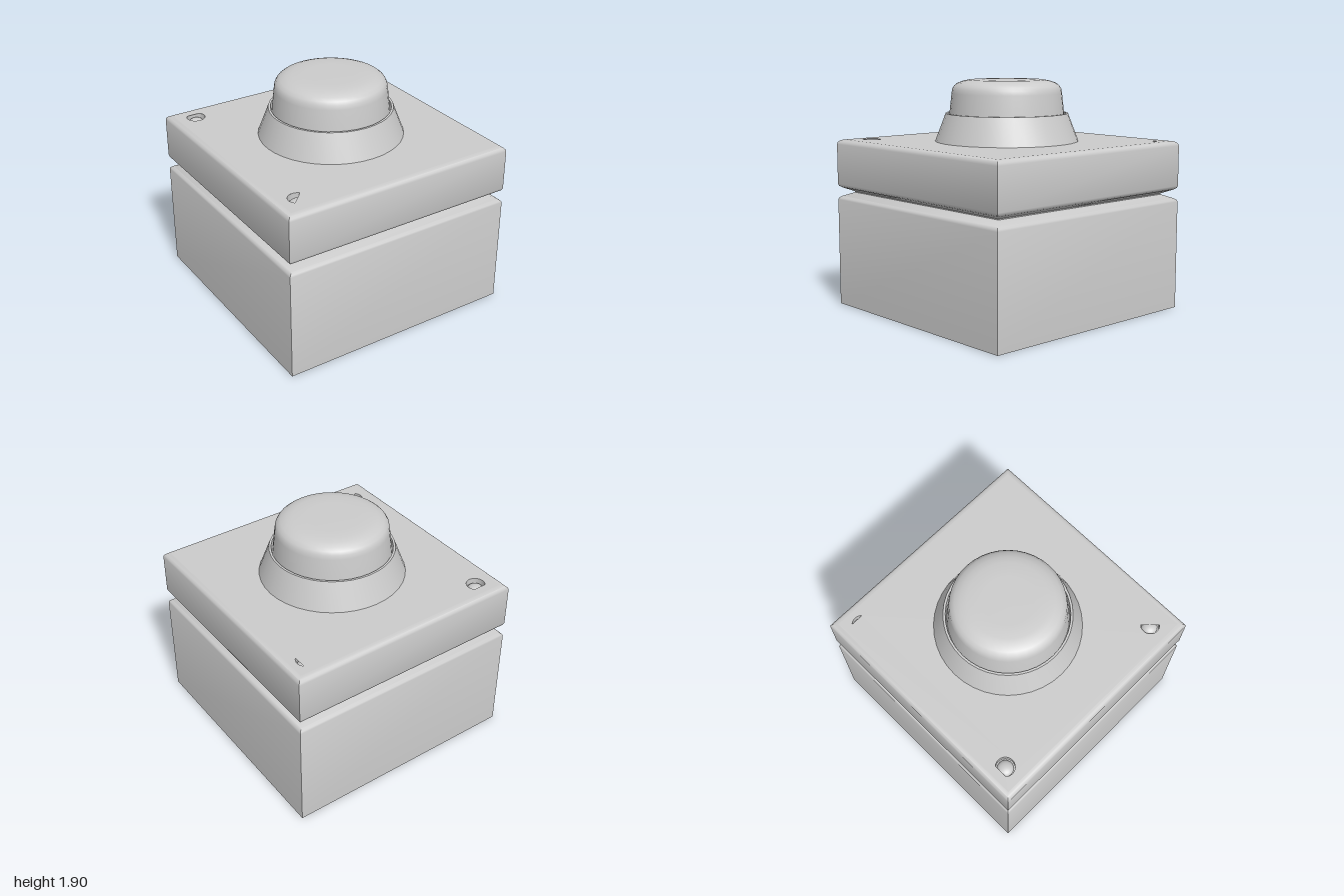
import * as THREE from 'three';
import { toCreasedNormals } from 'three/addons/utils/BufferGeometryUtils.js';

const material = new THREE.MeshStandardMaterial({ color: 0xcccccc });
const TOP = 1.4, TOP_HALF = 0.95;

function part(name, geometry, parent) {
  const mesh = new THREE.Mesh(geometry, material);
  mesh.name = name;
  parent.add(mesh);
  return mesh;
}

// Square shell with mitred corners from a [half width, height] profile
function squareShell(profile) {
  const positions = [];
  for (let side = 0; side < 4; side++) {
    const axis = new THREE.Vector3(0, 1, 0);
    const at = (sign, [h, y]) =>
      new THREE.Vector3(sign * h, y, h).applyAxisAngle(axis, side * Math.PI / 2).toArray();
    for (let i = 0; i < profile.length - 1; i++) {
      const a = at(-1, profile[i]), b = at(1, profile[i]);
      const c = at(-1, profile[i + 1]), d = at(1, profile[i + 1]);
      positions.push(...a, ...b, ...d, ...a, ...d, ...c);
    }
  }
  const geometry = new THREE.BufferGeometry();
  geometry.setAttribute('position', new THREE.Float32BufferAttribute(positions, 3));
  return toCreasedNormals(geometry, 0.75);
}

function turned(profile) {
  const points = profile.map(([r, y]) => new THREE.Vector2(r, y));
  return toCreasedNormals(new THREE.LatheGeometry(points, 40), 0.7);
}

export function createModel() {
  const model = new THREE.Group();
  model.name = 'pushButtonBox';

  // Lower box
  const base = new THREE.Group();
  base.name = 'base';
  model.add(base);
  part('baseWalls', squareShell([
    [1, 0], [1, 0.895], [0.995, 0.91], [0.975, 0.925], [0.9, 0.957], [0.9, 0.97],
  ]), base);
  part('baseBottom', new THREE.PlaneGeometry(2, 2).rotateX(Math.PI / 2), base);

  // Lid with a chamfered underside and rounded upper edge
  const lid = new THREE.Group();
  lid.name = 'lid';
  model.add(lid);
  part('lidWalls', squareShell([
    [0.9, 0.965], [0.975, 0.998], [0.993, 1.01], [1, 1.03], [1, 1.36],
    [0.995, 1.378], [0.98, 1.392], [0.965, 1.398], [TOP_HALF, TOP],
  ]), lid);

  // Lid top, cut open where the screw recesses show
  const screws = [
    { x: -0.8, z: -0.83, from: Math.PI - 0.73, to: 2 * Math.PI + 0.73 },
    { x: -0.8, z: 0.79, from: Math.PI / 4, to: Math.PI * 1.25 },
    { x: 0.82, z: -0.82, from: -0.8, to: 0.8 },
  ];
  const h = TOP_HALF;
  const top = new THREE.Shape([[-h, -h], [h, -h], [h, h], [-h, h]].map(([x, y]) => new THREE.Vector2(x, y)));
  for (const s of screws) {
    const hole = new THREE.Path();
    hole.absarc(s.x, -s.z, 0.075, s.from, s.to, false);
    hole.closePath();
    top.holes.push(hole);
  }
  part('lidTop', new THREE.ShapeGeometry(top, 20).rotateX(-Math.PI / 2).translate(0, TOP, 0), lid);

  // Recess cups with domed screw heads
  for (const s of screws) {
    const screw = new THREE.Group();
    screw.name = 'screw';
    screw.position.set(s.x, TOP - 0.05, s.z);
    model.add(screw);
    part('recess', turned([[0, 0], [0.075, 0], [0.075, 0.05]].reverse()), screw);
    const head = part('screwHead', new THREE.SphereGeometry(0.064, 24, 8, 0, Math.PI * 2, 0, Math.PI / 2), screw);
    head.scale.y = 0.6;
  }

  // Conical collar with a thin rim
  part('collar', turned([
    [0.59, TOP], [0.503, 1.627], [0.485, 1.627], [0.48, 1.58], [0.46, 1.58],
  ]), model);

  // Button cap
  part('buttonCap', turned([
    [0.477, 1.58], [0.471, 1.63], [0.453, 1.79], [0.447, 1.825], [0.432, 1.85],
    [0.405, 1.872], [0.36, 1.888], [0.31, 1.898], [0.2, 1.9], [0, 1.9],
  ]), model);

  return model;
}
